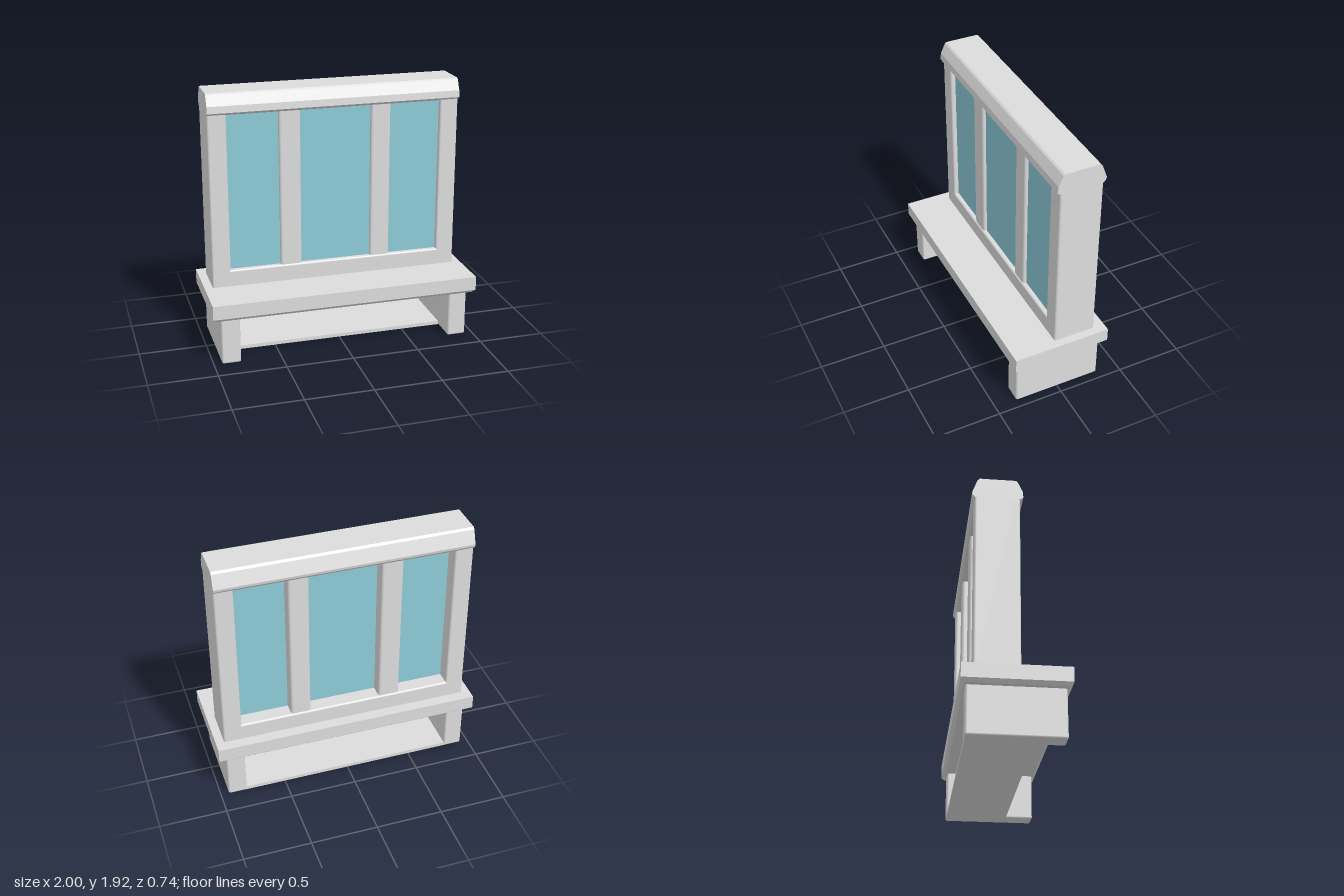
import * as THREE from 'three';
import { RoundedBoxGeometry } from 'three/addons/geometries/RoundedBoxGeometry.js';

const frameMat = new THREE.MeshStandardMaterial({ color: 0xdcdcdc });
frameMat.name = 'pale grey frame';
const glassMat = new THREE.MeshStandardMaterial({ color: 0x8ccad6 });
glassMat.name = 'blue glass';

export function createModel() {
  const model = new THREE.Group();
  model.name = 'windowOnSill';

  const add = (name, geometry, material = frameMat) => {
    const mesh = new THREE.Mesh(geometry, material);
    mesh.name = name;
    model.add(mesh);
    return mesh;
  };

  // Block given by its limits on each axis, softened when r > 0
  const block = (name, [x0, x1], [y0, y1], [z0, z1], r = 0, material = frameMat) => {
    const size = [x1 - x0, y1 - y0, z1 - z0];
    const geometry = r ? new RoundedBoxGeometry(...size, 3, r) : new THREE.BoxGeometry(...size);
    geometry.translate((x0 + x1) / 2, (y0 + y1) / 2, (z0 + z1) / 2);
    return add(name, geometry, material);
  };

  // Sill slab with a tapered underside
  block('sill', [-1, 1], [0.37, 0.475], [-0.365, 0.37]);
  const taper = new THREE.BoxGeometry(2, 0.025, 0.735);
  const p = taper.attributes.position;
  for (let i = 0; i < p.count; i++) {
    if (p.getY(i) < 0) {
      p.setX(i, p.getX(i) * 0.975);
      p.setZ(i, p.getZ(i) * 0.93);
    }
  }
  taper.computeVertexNormals();
  taper.translate(0, 0.3575, 0.0025);
  add('sillUnderside', taper);

  // Side supports and the thin board between them
  for (const s of [-1, 1]) {
    const x = [s * 0.8, s * 0.94].sort((a, b) => a - b);
    block(s > 0 ? 'leftSupport' : 'rightSupport', x, [0, 0.37], [-0.33, 0.335], 0.015);
  }
  block('bottomBoard', [-0.81, 0.81], [0.003, 0.03], [-0.325, 0.13]);

  // Jambs and bottom rail
  for (const s of [-1, 1]) {
    const x = [s * 0.8, s * 0.938].sort((a, b) => a - b);
    block(s > 0 ? 'leftJamb' : 'rightJamb', x, [0.45, 1.86], [-0.283, 0.035], 0.015);
  }
  block('bottomRail', [-0.83, 0.83], [0.45, 0.6], [-0.283, 0.035], 0.015);

  // Head rail: bulging profile swept along x, drawn as (z, y)
  const profile = [
    [0.03, 1.77], [0.058, 1.79], [0.053, 1.84], [0.018, 1.915], [0.005, 1.925],
    [-0.25, 1.925], [-0.265, 1.91], [-0.302, 1.81], [-0.298, 1.79], [-0.28, 1.77],
  ];
  const shape = new THREE.Shape(profile.map(([z, y]) => new THREE.Vector2(-z, y)));
  const rail = new THREE.ExtrudeGeometry(shape, { depth: 1.876, bevelEnabled: false });
  rail.translate(0, 0, -0.938);
  rail.rotateY(Math.PI / 2);
  add('headRail', rail);

  // Mullions
  block('rightMullion', [-0.42, -0.26], [0.55, 1.85], [-0.272, 0.025], 0.02);
  block('leftMullion', [0.27, 0.42], [0.55, 1.85], [-0.272, 0.025], 0.02);

  // Glass panes
  const panes = [[-0.81, -0.41], [-0.27, 0.28], [0.41, 0.81]];
  panes.forEach((x, i) => block('pane' + (i + 1), x, [0.59, 1.8], [-0.17, 0], 0, glassMat));

  return model;
}
